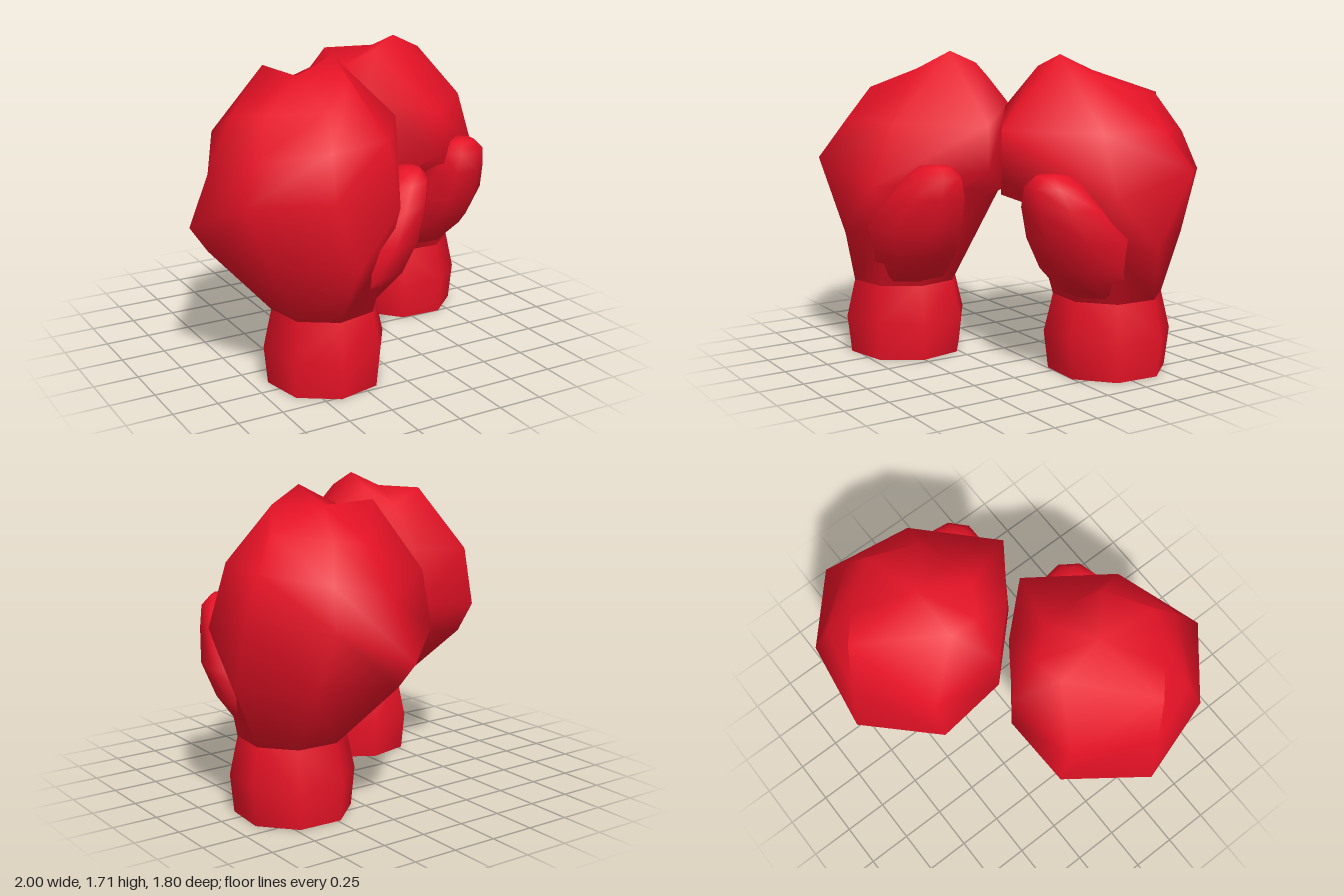
import * as THREE from 'three';
import { toCreasedNormals } from 'three/addons/utils/BufferGeometryUtils.js';

const SIDES = 8;

// Elliptical ring of points at height y
function ellipse(y, cx, cz, rx, rz) {
  return Array.from({ length: SIDES }, (_, i) => {
    const a = ((i + 1 / 3) / SIDES) * Math.PI * 2;
    return [cx + Math.cos(a) * rx, y, cz + Math.sin(a) * rz];
  });
}

// Skin rings of points from bottom to top and close both ends;
// side = -1 mirrors the loft across x = 0.
function loft(rings, side, topRise = 0) {
  const centre = (ring, rise) =>
    [0, 1, 2].map((k) => ring.reduce((sum, p) => sum + p[k], 0) / SIDES + (k === 1 ? rise : 0));
  const points = [...rings.flat(), centre(rings[0], 0), centre(rings[rings.length - 1], topRise)];
  const idx = [];
  const face = (a, b, c) => (side > 0 ? idx.push(a, b, c) : idx.push(a, c, b));
  const bottomCentre = rings.length * SIDES, top = bottomCentre - SIDES;
  for (let i = 0; i < SIDES; i++) {
    const j = (i + 1) % SIDES;
    for (let r = 0; r < top; r += SIDES) {
      face(r + i, r + i + SIDES, r + j);
      face(r + j, r + i + SIDES, r + j + SIDES);
    }
    face(bottomCentre, i, j);
    face(bottomCentre + 1, top + j, top + i);
  }
  const g = new THREE.BufferGeometry();
  g.setAttribute('position', new THREE.Float32BufferAttribute(points.flatMap(([x, y, z]) => [x * side, y, z]), 3));
  g.setIndex(idx);
  g.computeVertexNormals();
  return g;
}

// Wrist seam shared by the cuff and the fist
const WRIST = ellipse(0.42, -0.59, 0.14, 0.3, 0.29);

// Wrist cuff, slightly barrelled
const CUFF = [
  ellipse(0, -0.59, 0.14, 0.325, 0.315),
  ellipse(0.21, -0.59, 0.14, 0.35, 0.335),
  WRIST,
];

// Fist cross-sections, each running inner side, front, outer side, back
const PALM = [ // drawn in beneath the curled fingers
  [-0.14, 0.88, 0.06], [-0.2, 0.96, 0.26], [-0.6, 0.77, 0.5], [-0.87, 0.71, 0.39],
  [-0.98, 0.74, -0.04], [-0.8, 0.74, -0.43], [-0.36, 0.78, -0.5], [-0.13, 0.82, -0.25],
];
const KNUCKLES = [ // widest section
  [-0.01, 0.95, 0.18], [-0.05, 1.08, 0.44], [-0.67, 1.0, 0.56], [-1.04, 1.12, 0.3],
  [-1.06, 1.07, -0.15], [-0.82, 0.87, -0.52], [-0.32, 0.95, -0.58], [-0.04, 1.0, -0.29],
];
const PADDING = [
  [-0.01, 1.42, 0.03], [-0.05, 1.33, 0.43], [-0.58, 1.33, 0.48], [-0.89, 1.33, 0.26],
  [-0.97, 1.28, -0.13], [-0.82, 1.2, -0.4], [-0.36, 1.27, -0.53], [-0.04, 1.3, -0.26],
];
const CROWN = [
  [-0.19, 1.64, 0.04], [-0.32, 1.71, 0.13], [-0.48, 1.62, 0.25], [-0.76, 1.51, 0.21],
  [-0.82, 1.49, -0.1], [-0.82, 1.48, -0.28], [-0.28, 1.63, -0.26], [-0.15, 1.55, -0.13],
];
const FIST = [WRIST, PALM, KNUCKLES, PADDING, CROWN];

// Thumb leaning inward across the palm
const THUMB = [
  ellipse(0.43, -0.55, 0.2, 0.2, 0.2),
  ellipse(0.6, -0.48, 0.34, 0.24, 0.22),
  ellipse(0.78, -0.46, 0.44, 0.28, 0.2),
  ellipse(0.95, -0.38, 0.49, 0.22, 0.17),
  ellipse(1.06, -0.34, 0.52, 0.16, 0.14),
  ellipse(1.115, -0.33, 0.53, 0.09, 0.08),
];

function makeGlove(name, side, material) {
  const glove = new THREE.Group();
  glove.name = name;
  const part = (partName, geometry) => {
    const mesh = new THREE.Mesh(geometry, material);
    mesh.name = partName;
    glove.add(mesh);
  };
  part('cuff', toCreasedNormals(loft(CUFF, side), 1.0));
  part('fist', loft(FIST, side, 0.04));
  part('thumb', loft(THUMB, side, 0.01));
  return glove;
}

export function createModel() {
  const model = new THREE.Group();
  model.name = 'boxingGloves';
  const red = new THREE.MeshStandardMaterial({ color: 0xe51226 });

  // The pair is mirrored, staggered front to back and turned together
  const pair = new THREE.Group();
  pair.name = 'glovePair';
  const right = makeGlove('rightGlove', 1, red);
  right.position.set(0.017, 0, -0.11);
  const left = makeGlove('leftGlove', -1, red);
  left.position.set(0.017, 0, 0.11);
  pair.add(right, left);
  pair.rotation.y = 0.861;
  model.add(pair);
  return model;
}
